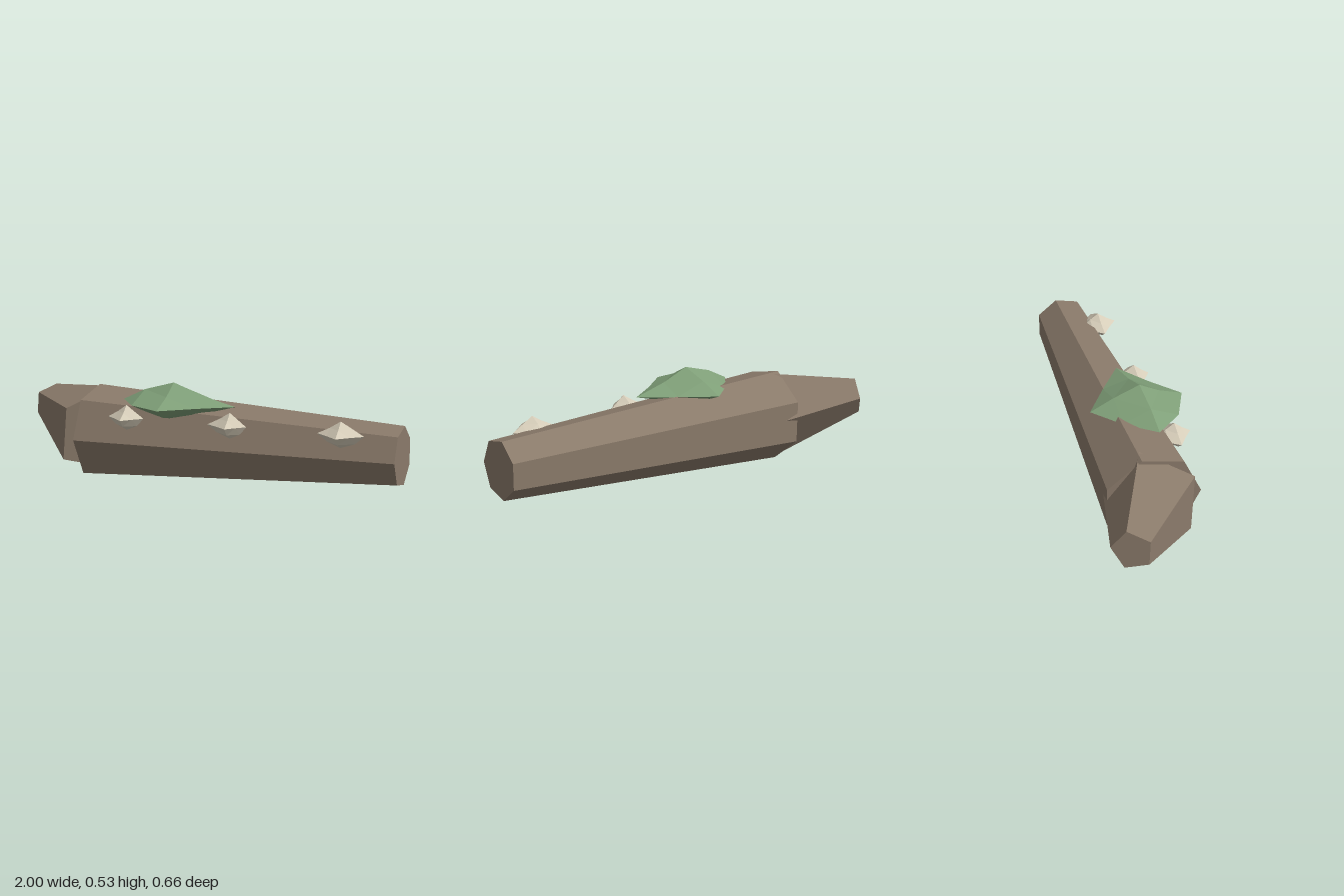
import * as THREE from 'three';

const mat = (color, roughness = 0.95) => new THREE.MeshStandardMaterial({ color, roughness, flatShading: true });

// Tapered low-poly trunk between two points, one corner turned towards "corner"
function taper(name, from, to, r0, r1, sides, corner, material) {
  const a = new THREE.Vector3(...from), b = new THREE.Vector3(...to);
  const axis = b.clone().sub(a);
  const mesh = new THREE.Mesh(new THREE.CylinderGeometry(r1, r0, axis.length(), sides), material);
  axis.normalize();
  const ref = new THREE.Vector3(...corner);
  ref.addScaledVector(axis, -ref.dot(axis)).normalize();
  const side = new THREE.Vector3().crossVectors(axis, ref);
  mesh.quaternion.setFromRotationMatrix(new THREE.Matrix4().makeBasis(side, axis, ref));
  mesh.position.copy(a).add(b).multiplyScalar(0.5);
  mesh.name = name;
  return mesh;
}

// Lumpy octahedron: separate reach along each half axis, and a bulge for each
// edge midpoint (0.5 = straight edge, more = rounded, less = hollow)
function clump(name, center, reach, bulge, material) {
  const geo = new THREE.OctahedronGeometry(1, 1);
  const pos = geo.attributes.position;
  const names = [['left', 'right'], ['top', 'bottom'], ['front', 'back']];
  for (let i = 0; i < pos.count; i++) {
    const p = [pos.getX(i), pos.getY(i), pos.getZ(i)];
    const used = p.map((v, k) => (Math.abs(v) < 0.1 ? '' : names[k][v > 0 ? 0 : 1]));
    const parts = used.filter(Boolean);
    const k = parts.length === 1 ? 1 : bulge[parts.join(' ')] ?? 0.5;
    pos.setXYZ(i, ...p.map((v, j) => (used[j] ? Math.sign(v) * reach[used[j]] * k : 0)));
  }
  geo.computeVertexNormals();
  const mesh = new THREE.Mesh(geo, material);
  mesh.position.set(...center);
  mesh.name = name;
  return mesh;
}

export function createModel() {
  const group = new THREE.Group();
  group.name = 'fallenLog';
  const bark = mat(0x8a7a6a), moss = mat(0x7f9f78), cap = mat(0xd6cdb9);

  // Fallen trunk and its broken stub
  group.add(taper('trunk', [-0.577, 0.232, -0.009], [0.99, 0.255, 0.085], 0.235, 0.141, 7, [0, 0, 1], bark));
  group.add(taper('brokenStub', [-0.572, 0.242, -0.006], [-0.955, 0.314, -0.251], 0.23, 0.094, 5, [0.56, 0, -0.83], bark));

  // Moss patch on top
  group.add(clump('mossPatch', [-0.11, 0.432, 0.108],
    { left: 0.31, right: 0.26, top: 0.097, bottom: 0.078, front: 0.218, back: 0.246 },
    {
      'left top': 0.45, 'right top': 0.57, 'top front': 0.45, 'top back': 0.53,
      'left front': 0.48, 'left back': 0.51, 'right front': 0.62, 'right back': 0.55,
      'left bottom': 0.52, 'right bottom': 0.64, 'bottom front': 0.62, 'bottom back': 0.55,
    }, moss));

  // Row of mushrooms along the front
  const capBulge = {
    'left top': 0.5, 'right top': 0.47, 'top front': 0.47, 'top back': 0.55,
    'left front': 0.48, 'right front': 0.48, 'left back': 0.6, 'right back': 0.6,
    'left bottom': 0.62, 'right bottom': 0.58, 'bottom front': 0.58, 'bottom back': 0.6,
  };
  [[-0.315, 0.085, 0.095, 0.082], [0.205, 0.08, 0.11, 0.078], [0.73, 0.108, 0.108, 0.094]]
    .forEach(([x, left, right, front], i) => group.add(clump(`mushroom${i + 1}`, [x, 0.362, 0.203],
      { left, right, top: 0.062, bottom: 0.06, front, back: 0.08 }, capBulge, cap)));

  return group;
}
